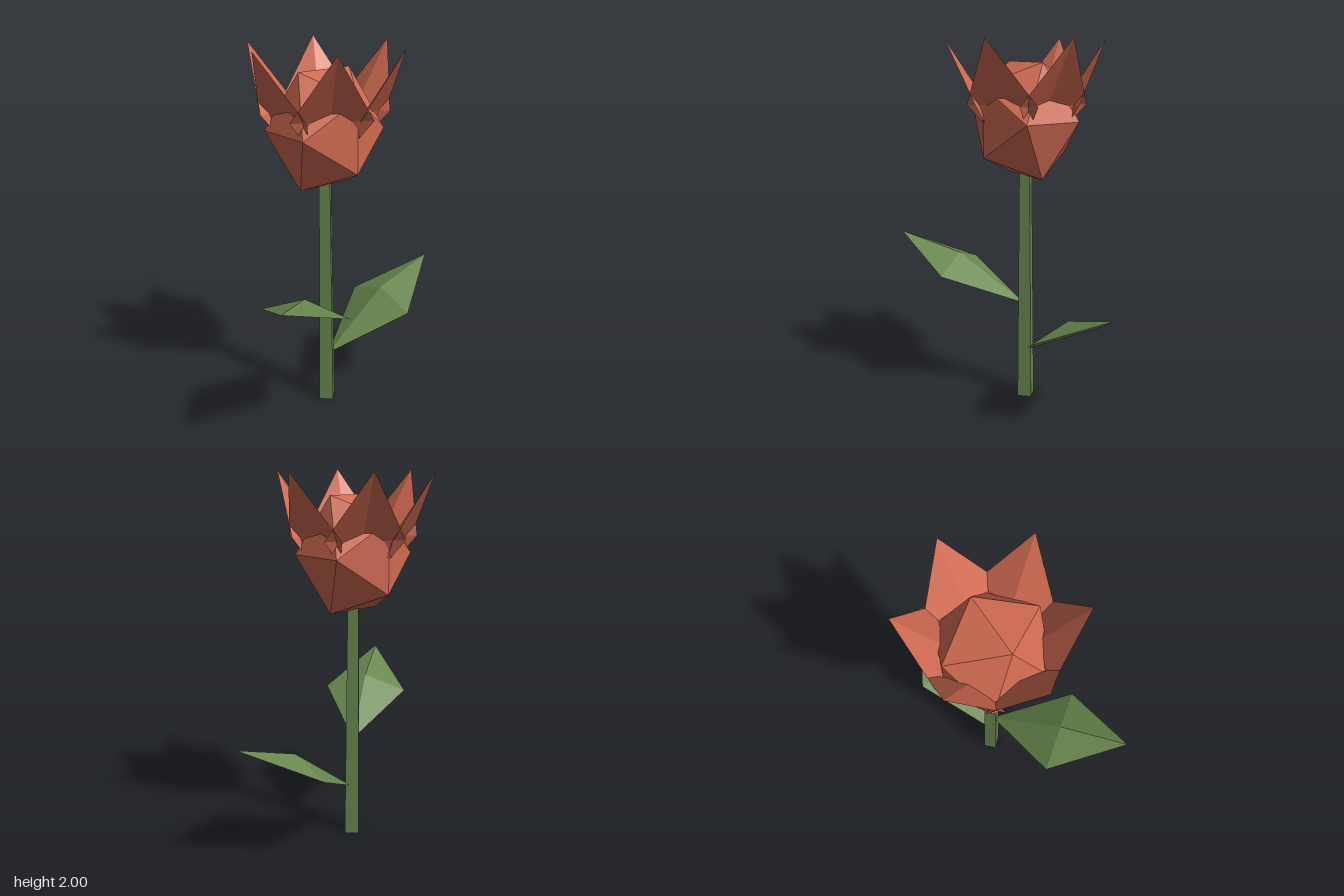
import * as THREE from 'three';

export function createModel() {
  const model = new THREE.Group();
  model.name = 'flower';

  const red = new THREE.MeshStandardMaterial({ color: 0xd06a51, flatShading: true, side: THREE.DoubleSide });
  red.name = 'petal red';
  const green = new THREE.MeshStandardMaterial({ color: 0x69884e, flatShading: true, side: THREE.DoubleSide });
  green.name = 'leaf green';

  const add = (name, geometry, material, y = 0) => {
    const mesh = new THREE.Mesh(geometry, material);
    mesh.name = name;
    mesh.position.set(-0.08, y, -0.05);
    model.add(mesh);
    return mesh;
  };

  // A folded diamond sheet growing outward along +x, given as [radius, height] points
  const blade = (name, material, angle, { base, side, mid, tip, halfWidth }) => {
    const b = [...base, 0], m = [...mid, 0], t = [...tip, 0];
    const l = [...side, -halfWidth], r = [...side, halfWidth];
    const corners = [m, t, l, m, l, b, m, b, r, m, r, t].flat();
    const geometry = new THREE.BufferGeometry();
    geometry.setAttribute('position', new THREE.Float32BufferAttribute(corners, 3));
    geometry.computeVertexNormals();
    add(name, geometry, material).rotation.y = -angle;
  };

  // Square tapered stem
  add('stem', new THREE.CylinderGeometry(0.04, 0.055, 1.3, 4), green, 0.65);

  // Faceted bud, slightly stretched upward
  add('bud', new THREE.IcosahedronGeometry(0.305, 0).scale(1, 1.156, 1), red, 1.58);

  // Ring of six petals folded inward along the middle
  for (let i = 0; i < 6; i++) {
    blade('petal' + (i + 1), red, i * Math.PI / 3, {
      base: [0.12, 1.38], side: [0.26, 1.67], mid: [0.2, 1.66], tip: [0.42, 2], halfWidth: 0.203,
    });
  }

  // Two leaves at different heights
  blade('lowerLeaf', green, 0, {
    base: [0.01, 0.278], side: [0.405, 0.493], mid: [0.405, 0.575], tip: [0.77, 0.69], halfWidth: 0.234,
  });
  blade('upperLeaf', green, 2.503, {
    base: [0.01, 0.552], side: [0.405, 0.73], mid: [0.405, 0.812], tip: [0.772, 0.905], halfWidth: 0.234,
  });

  return model;
}
